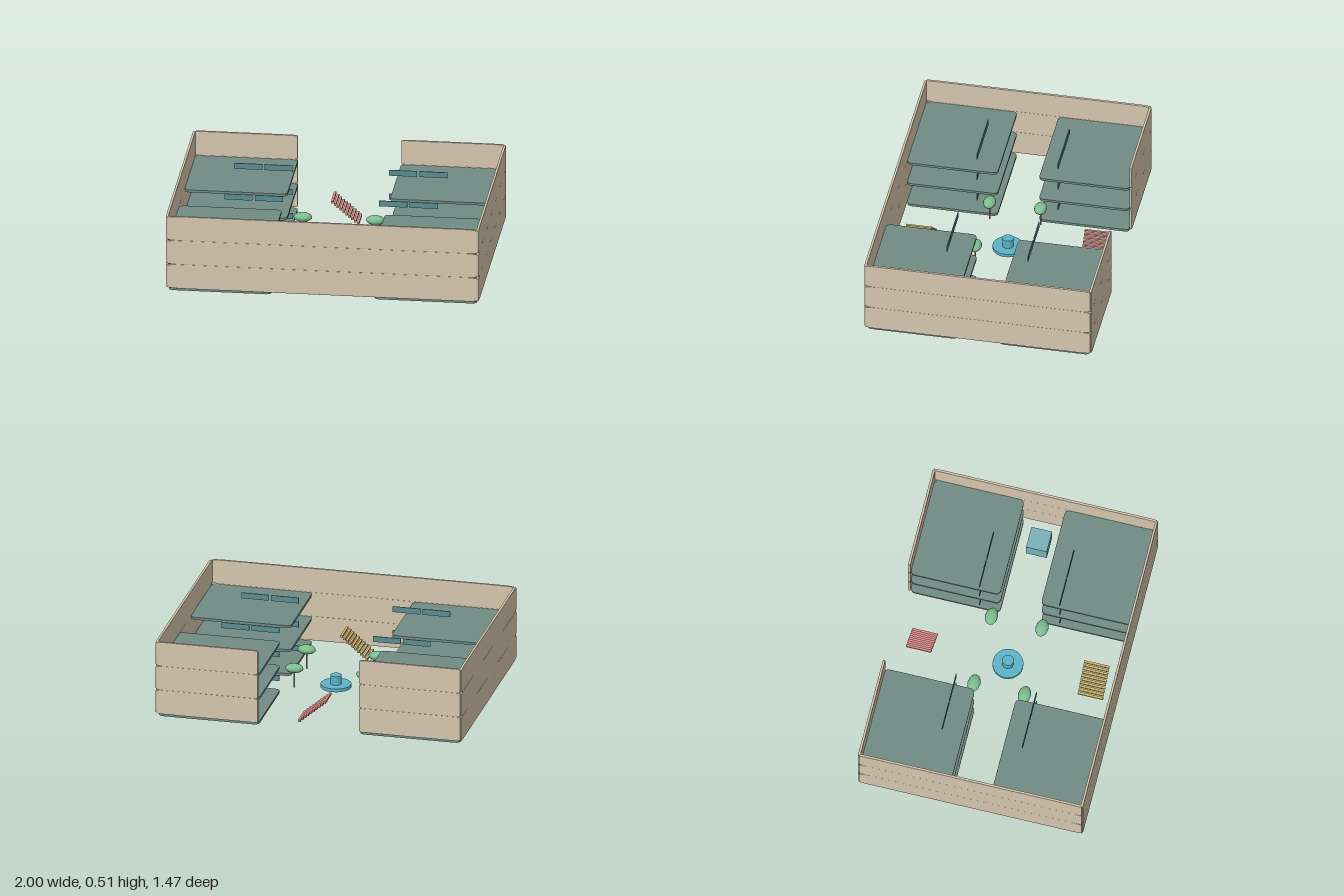
import * as THREE from 'three';
import { RoundedBoxGeometry } from 'three/addons/geometries/RoundedBoxGeometry.js';

const mat = (color) => new THREE.MeshStandardMaterial({ color });

export function createModel() {
  const model = new THREE.Group();
  const wallMat = mat(0xd5c6ae), floorMat = mat(0x718c85), signMat = mat(0x5c8c92);
  const waterMat = mat(0x5cb3c8), leafMat = mat(0x7dbe91), trunkMat = mat(0xc98a84);
  const redMat = mat(0xdc8c87), yellowMat = mat(0xd6b868), kioskMat = mat(0x78b2b8);

  const softBox = new RoundedBoxGeometry(1, 1, 1, 3, 0.05);
  const unitBox = new THREE.BoxGeometry(1, 1, 1);

  function add(name, geometry, material, size, pos, parent = model) {
    const mesh = new THREE.Mesh(geometry, material);
    mesh.name = name;
    mesh.scale.set(...size);
    mesh.position.set(...pos);
    parent.add(mesh);
    return mesh;
  }

  // Three storeys of outer walls, corner floors and hanging signs
  const storey = 0.1635;
  for (let i = 0; i < 3; i++) {
    const level = new THREE.Group();
    level.name = 'storey' + (i + 1);
    level.position.y = i * storey;
    model.add(level);

    add('frontWall', softBox, wallMat, [1.985, 0.163, 0.016], [0, 0.101, 0.727], level);
    for (const sx of [-1, 1]) {
      add('sideWall', softBox, wallMat, [0.016, 0.163, 1.455], [sx * 0.992, 0.101, 0], level);
      add('backWall', softBox, wallMat, [0.66, 0.163, 0.016], [sx * 0.661, 0.101, -0.727], level);
      for (const sz of [-1, 1]) {
        add('floorSlab', softBox, floorMat, [0.656, 0.018, 0.587], [sx * 0.657, 0.009, sz * 0.427], level);
        for (const x of [0.397, 0.592]) {
          add('hangingSign', unitBox, signMat, [0.18, 0.038, 0.006], [sx * x, 0.144, sz * 0.262], level);
        }
      }
    }
  }

  // Stairs made of separate treads, each rising one storey
  function stairs(name, material, z, dir) {
    const group = new THREE.Group();
    group.name = name;
    const n = 10;
    for (let i = 0; i < n; i++) {
      const t = i / (n - 1);
      add('tread', unitBox, material, [0.015, 0.014, 0.165],
        [dir * (t - 0.5) * 0.165, 0.022 + t * 0.14, z], group);
    }
    model.add(group);
  }
  stairs('backStairs', redMat, -0.563, -1);
  stairs('frontStairs', yellowMat, 0.56, 1);

  // Trees around the court
  const trunk = new THREE.CylinderGeometry(0.005, 0.005, 0.12, 8);
  const crown = new THREE.SphereGeometry(1, 12, 8);
  for (const sx of [-1, 1]) for (const sz of [-1, 1]) {
    const tree = new THREE.Group();
    tree.name = 'tree';
    tree.position.set(sx * 0.232, 0, sz * 0.165);
    add('trunk', trunk, trunkMat, [1, 1, 1], [0, 0.11, 0], tree);
    add('crown', crown, leafMat, [0.06, 0.03, 0.041], [0, 0.182, 0], tree);
    model.add(tree);
  }

  // Central fountain: wide basin and a narrow column
  const disc = new THREE.CylinderGeometry(1, 1, 1, 32);
  add('fountainBasin', disc, waterMat, [0.098, 0.022, 0.098], [0, 0.025, 0]);
  add('fountainColumn', disc, waterMat, [0.036, 0.06, 0.036], [0, 0.065, 0]);

  // Kiosk by the side wall
  add('kiosk', unitBox, kioskMat, [0.14, 0.115, 0.135], [0.825, 0.077, 0]);

  return model;
}
